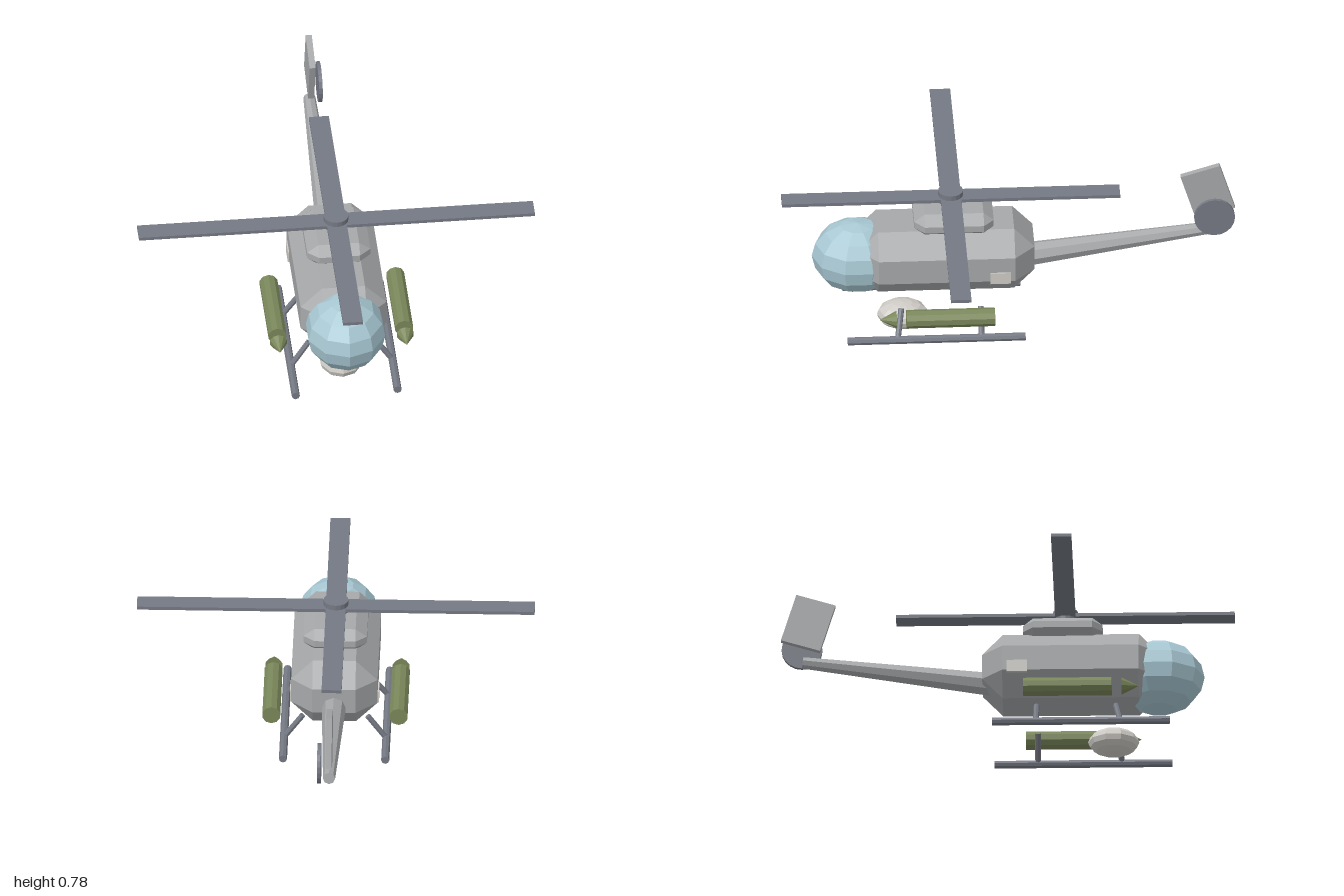
import * as THREE from 'three';
import { ConvexGeometry } from 'three/addons/geometries/ConvexGeometry.js';

const mat = (name, color) => {
  const m = new THREE.MeshStandardMaterial({ color, flatShading: true });
  m.name = name;
  return m;
};

export function createModel() {
  const hull = mat('hull grey', 0xa6a8aa);
  const dark = mat('rotor grey', 0x757983);
  const glass = mat('canopy blue', 0xa8c8d3);
  const olive = mat('olive', 0x7a875a);
  const pale = mat('pale grey', 0xcfccc7);

  const model = new THREE.Group();
  model.name = 'helicopter';

  const add = (name, geometry, material, x = 0, y = 0, z = 0) => {
    const mesh = new THREE.Mesh(geometry, material);
    mesh.name = name;
    mesh.position.set(x, y, z);
    model.add(mesh);
    return mesh;
  };

  // Box with every edge chamfered: h = half sizes, c = chamfer per axis
  const chamferBox = (h, c) => {
    const points = [];
    for (const sx of [-1, 1]) for (const sy of [-1, 1]) for (const sz of [-1, 1]) {
      for (let full = 0; full < 3; full++) {
        const p = h.map((v, i) => (i === full ? v : v - c[i]));
        points.push(new THREE.Vector3(sx * p[0], sy * p[1], sz * p[2]));
      }
    }
    return new ConvexGeometry(points);
  };

  // Tapered round bar between two points
  const bar = (name, material, a, b, ra, rb, sides = 8) => {
    const from = new THREE.Vector3(...a), to = new THREE.Vector3(...b);
    const dir = to.clone().sub(from);
    const mesh = add(name, new THREE.CylinderGeometry(rb, ra, dir.length(), sides), material);
    mesh.position.copy(from).add(to).multiplyScalar(0.5);
    mesh.quaternion.setFromUnitVectors(new THREE.Vector3(0, 1, 0), dir.normalize());
    return mesh;
  };

  // Faceted ellipsoid with a vertex column facing forward
  const ellipsoid = (rx, ry, rz) =>
    new THREE.SphereGeometry(1, 10, 8).rotateY(Math.PI / 2).scale(rx, ry, rz);

  // Fuselage
  add('fuselage', chamferBox([0.19, 0.153, 0.39], [0.095, 0.095, 0.09]), hull, 0, 0.388, 0.28);
  add('engineCowl', chamferBox([0.14, 0.052, 0.175], [0.05, 0.037, 0.045]), hull, 0, 0.572, 0.245);
  add('canopy', ellipsoid(0.178, 0.165, 0.2), glass, 0, 0.371, 0.667);
  add('sideVents', new THREE.BoxGeometry(0.392, 0.055, 0.09), pale, 0, 0.347, 0.045);
  add('sensorPod', ellipsoid(0.097, 0.059, 0.113), pale, 0, 0.06, 0.467);

  // Tail
  bar('tailBoom', hull, [0, 0.343, -0.04], [0, 0.46, -0.9], 0.055, 0.027);
  const fin = add('tailFin', new THREE.BoxGeometry(0.027, 0.23, 0.18), hull, 0, 0.648, -0.877);
  fin.rotation.x = 0.3;
  add('tailRotor', new THREE.CylinderGeometry(0.09, 0.09, 0.016, 20).rotateZ(Math.PI / 2),
    dark, 0.043, 0.54, -0.905);

  // Main rotor
  add('rotorHub', new THREE.CylinderGeometry(0.055, 0.055, 0.054, 16), dark, 0, 0.665, 0.255);
  add('rotorMast', new THREE.CylinderGeometry(0.033, 0.033, 0.04, 12), dark, 0, 0.625, 0.255);
  add('crossBlade', new THREE.BoxGeometry(1.75, 0.015, 0.09), dark, 0, 0.661, 0.255);
  add('longBlade', new THREE.BoxGeometry(0.088, 0.015, 1.49), dark, 0, 0.661, 0.255);

  // Landing gear and stores, mirrored left and right
  for (const s of [-1, 1]) {
    const side = s > 0 ? 'left' : 'right';
    bar(side + 'Skid', dark, [s * 0.225, 0.062, -0.063], [s * 0.225, 0.062, 0.72], 0.018, 0.018);
    bar(side + 'FrontStrut', dark, [s * 0.225, 0.062, 0.5], [s * 0.143, 0.174, 0.48], 0.013, 0.013);
    bar(side + 'RearStrut', dark, [s * 0.225, 0.062, 0.13], [s * 0.143, 0.174, 0.13], 0.013, 0.013);
    bar(side + 'StoreBody', olive, [s * 0.28, 0.203, 0.075], [s * 0.28, 0.203, 0.465], 0.041, 0.041, 10);
    bar(side + 'StoreTip', olive, [s * 0.28, 0.203, 0.508], [s * 0.28, 0.203, 0.584], 0.039, 0, 10);
  }
  return model;
}
